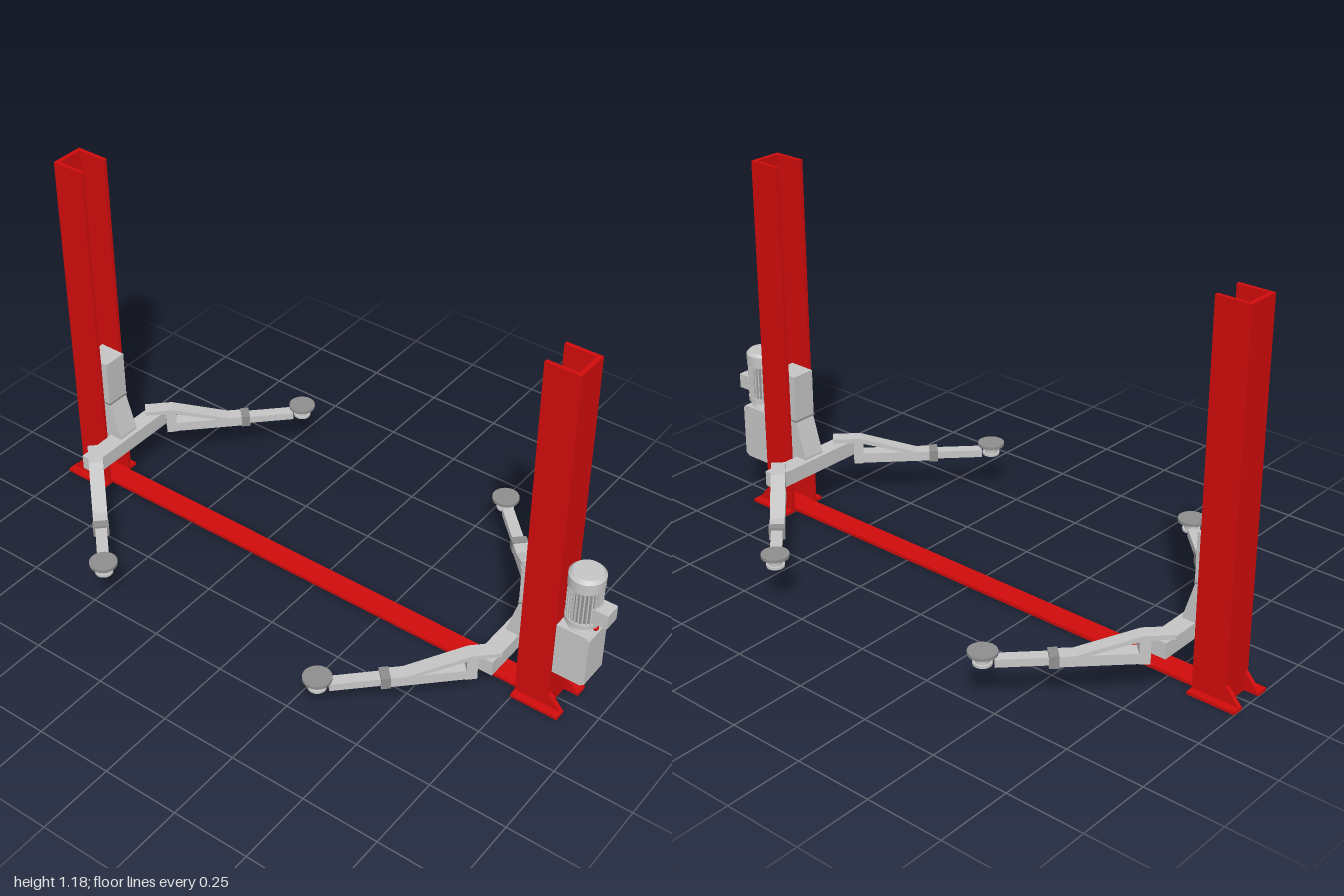
import * as THREE from 'three';

const mat = (name, color) => Object.assign(new THREE.MeshStandardMaterial({ color }), { name });
const red = mat('red paint', 0xd20c0c);
const grey = mat('light grey metal', 0xc6c6c6);
const dark = mat('dark grey rubber', 0x8e8e8e);

function add(parent, name, geometry, material) {
  const mesh = new THREE.Mesh(geometry, material);
  mesh.name = name;
  parent.add(mesh);
  return mesh;
}

// Box given by its minimum and maximum on each axis
function box(parent, name, material, [x0, x1], [y0, y1], [z0, z1]) {
  const g = new THREE.BoxGeometry(x1 - x0, y1 - y0, z1 - z0);
  g.translate((x0 + x1) / 2, (y0 + y1) / 2, (z0 + z1) / 2);
  return add(parent, name, g, material);
}

function cylinder(parent, name, material, rTop, rBottom, [y0, y1], x, z, sides = 32) {
  const g = new THREE.CylinderGeometry(rTop, rBottom, y1 - y0, sides);
  g.translate(x, (y0 + y1) / 2, z);
  return add(parent, name, g, material);
}

// Outline extruded symmetrically about its own plane
function slab(points, width) {
  const shape = new THREE.Shape(points.map(p => new THREE.Vector2(...p)));
  const g = new THREE.ExtrudeGeometry(shape, { depth: width, bevelEnabled: false });
  return g.translate(0, 0, -width / 2);
}

// Swing arm: runs along local +x from its pivot end to the pad
function makeArm() {
  const arm = new THREE.Group();
  arm.name = 'swingArm';
  const w = 0.023;
  add(arm, 'armBrace', slab([[0, 0.205], [0.085, 0.205], [0.235, 0.165], [0.275, 0.165],
    [0.09, 0.22], [0, 0.22]], 2 * w), grey);
  box(arm, 'pivotBlock', grey, [0.068, 0.1], [0.13, 0.206], [-w, w]);
  box(arm, 'outerTube', grey, [0.08, 0.33], [0.132, 0.165], [-w, w]);
  box(arm, 'tubeCollar', dark, [0.318, 0.346], [0.129, 0.168], [-w - 0.002, w + 0.002]);
  box(arm, 'innerTube', grey, [0.33, 0.493], [0.136, 0.161], [-0.018, 0.018]);
  // Pad with its holder ring
  const ring = new THREE.Shape().absarc(0, 0, 0.028, 0, Math.PI * 2);
  ring.holes.push(new THREE.Path().absarc(0, 0, 0.014, 0, Math.PI * 2, true));
  const ringGeo = new THREE.ExtrudeGeometry(ring, { depth: 0.008, bevelEnabled: false, curveSegments: 24 });
  ringGeo.rotateX(-Math.PI / 2).translate(0.525, 0.14, 0);
  add(arm, 'padRing', ringGeo, grey);
  cylinder(arm, 'padStem', grey, 0.021, 0.021, [0.147, 0.173], 0.525, 0);
  cylinder(arm, 'liftPad', dark, 0.043, 0.043, [0.172, 0.182], 0.525, 0, 40);
  return arm;
}

// One column with feet, carriage and two arms; +z points outward
function makeStation() {
  const station = new THREE.Group();
  station.name = 'liftColumn';

  // Channel column open to the inside
  const channel = new THREE.Shape([[-0.055, -0.905], [0.055, -0.905], [0.055, -0.795], [0.043, -0.795],
    [0.043, -0.891], [-0.043, -0.891], [-0.043, -0.795], [-0.055, -0.795]].map(p => new THREE.Vector2(...p)));
  const post = new THREE.ExtrudeGeometry(channel, { depth: 1.185, bevelEnabled: false });
  add(station, 'column', post.rotateX(-Math.PI / 2), red);

  for (const s of [-1, 1]) {
    // Foot plate and gusset
    box(station, 'footPlate', red, s > 0 ? [0.041, 0.08] : [-0.08, -0.041], [0, 0.01], [0.795, 0.9525]);
    const gusset = slab([[0.9, 0.008], [0.95, 0.008], [0.905, 0.06], [0.9, 0.06]], 0.014);
    gusset.rotateY(-Math.PI / 2).translate(s * 0.048, 0, 0);
    add(station, 'footGusset', gusset, red);
    // Arms at 45 degrees
    const arm = makeArm();
    arm.position.set(s * 0.124, 0, 0.776);
    arm.rotation.y = s > 0 ? Math.PI / 4 : 3 * Math.PI / 4;
    station.add(arm);
  }

  // Carriage
  box(station, 'carriageHead', grey, [-0.04, 0.04], [0.335, 0.49], [0.775, 0.865]);
  const wedge = slab([[0.74, 0.16], [0.865, 0.16], [0.865, 0.335], [0.777, 0.335], [0.74, 0.213]], 0.076);
  add(station, 'carriageWedge', wedge.rotateY(-Math.PI / 2), grey);
  box(station, 'carriageSeam', dark, [-0.041, 0.041], [0.331, 0.337], [0.773, 0.865]);
  box(station, 'crossbar', grey, [-0.175, 0.175], [0.155, 0.206], [0.725, 0.783]);
  return station;
}

function makePowerUnit() {
  const unit = new THREE.Group();
  unit.name = 'powerUnit';
  const z = 0.911;

  // Oil tank with a slanted lower edge
  const tank = slab([[0.858, 0.145], [0.95, 0.145], [0.963, 0.155], [0.963, 0.318],
    [0.955, 0.328], [0.858, 0.328]], 0.1);
  add(unit, 'oilTank', tank.rotateY(-Math.PI / 2), grey);
  cylinder(unit, 'tankNeck', grey, 0.036, 0.044, [0.328, 0.352], 0, z);
  add(unit, 'fillerKnob', new THREE.SphereGeometry(0.01, 16, 12).translate(0, 0.334, 0.953), red);

  // Finned electric motor
  cylinder(unit, 'motorFlange', grey, 0.053, 0.053, [0.35, 0.366], 0, z);
  cylinder(unit, 'motorCore', dark, 0.046, 0.046, [0.364, 0.482], 0, z);
  const fins = 28;
  for (let i = 0; i < fins; i++) {
    const fin = new THREE.BoxGeometry(0.01, 0.116, 0.004).translate(0.047, 0.423, 0);
    fin.rotateY((i / fins) * Math.PI * 2).translate(0, 0, z);
    add(unit, 'coolingFin', fin, grey);
  }
  cylinder(unit, 'motorCapBand', grey, 0.054, 0.054, [0.478, 0.515], 0, z);
  cylinder(unit, 'motorCapTop', grey, 0.044, 0.054, [0.515, 0.525], 0, z);
  box(unit, 'junctionBox', grey, [-0.027, 0.027], [0.373, 0.421], [0.95, 1.0]);
  return unit;
}

export function createModel() {
  const model = new THREE.Group();
  model.name = 'twoPostLift';
  const frame = new THREE.Group();
  frame.name = 'liftFrame';
  frame.position.z = -0.0475;

  const front = makeStation();
  const back = makeStation();
  back.rotation.y = Math.PI;
  frame.add(front, back);
  box(frame, 'floorBeam', red, [-0.038, 0.038], [0.001, 0.012], [-0.9, 0.9]);

  model.add(frame, makePowerUnit());
  return model;
}
